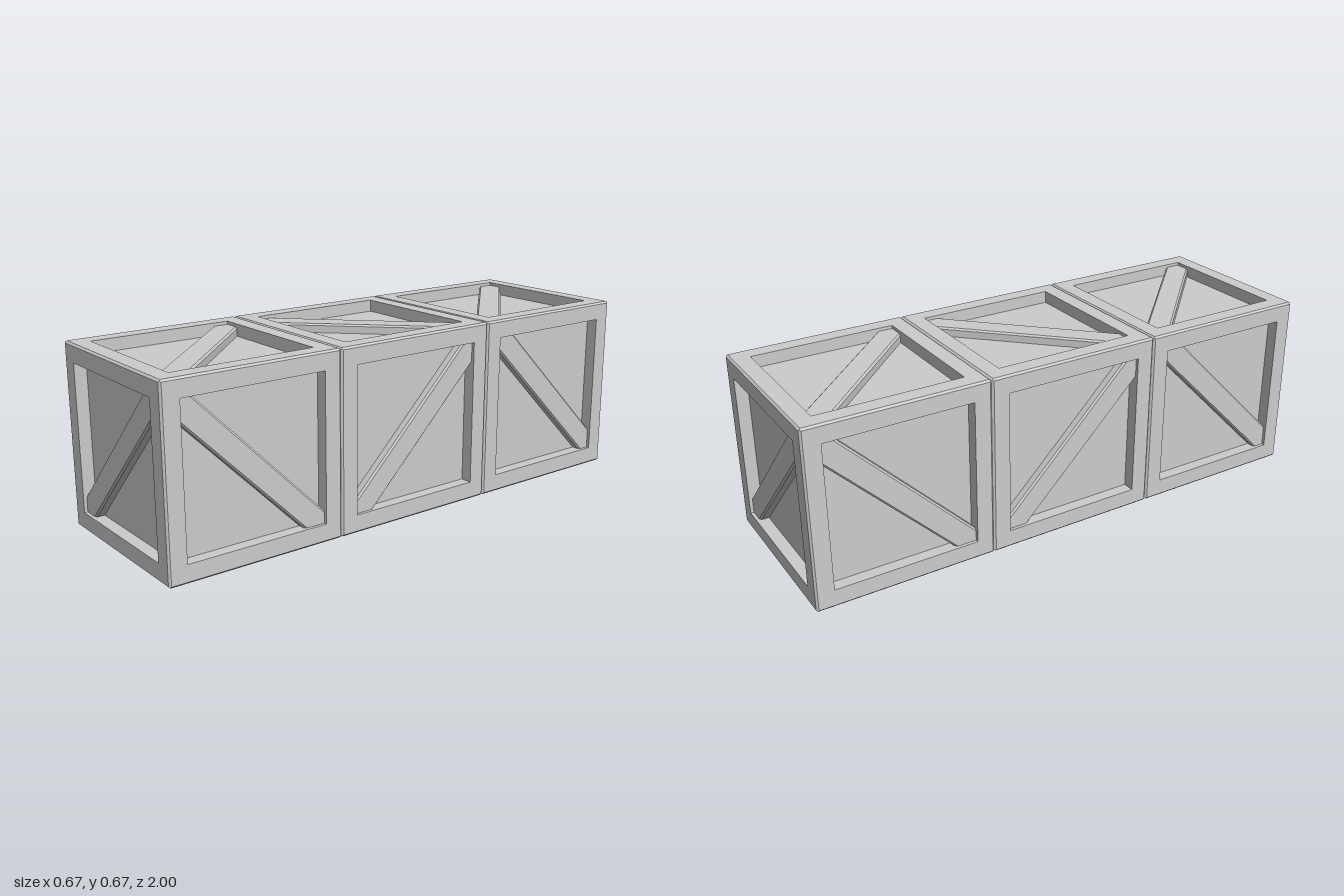
import * as THREE from 'three';

const H = 1 / 3;        // half the side of a crate
const CHAMFER = 0.007;  // bevel on the outer edges
const HOLE = 0.267;     // half the side of the recessed opening
const DEPTH = 0.045;    // recess depth

const material = new THREE.MeshStandardMaterial({ color: 0xcccccc, flatShading: true });

function faceted(geometry) {
  const flat = geometry.toNonIndexed();
  flat.computeVertexNormals();
  return flat;
}

// One crate side facing +y: half chamfer, frame, recess wall and sunken panel as a four-sided lathe
function panelGeometry() {
  const profile = [
    [H - CHAMFER / 2, H - CHAMFER / 2],
    [H - CHAMFER, H],
    [HOLE, H],
    [HOLE, H - DEPTH],
    [0, H - DEPTH],
  ].map(([half, y]) => new THREE.Vector2(half * Math.SQRT2, y));
  return faceted(new THREE.LatheGeometry(profile, 4, Math.PI / 4));
}

// Diagonal plank along x with chamfered upper edges, its ends buried in the frame
function braceGeometry() {
  const w = 0.045, t = 0.033, b = 0.0065, length = 0.76;
  const section = new THREE.Shape([
    [-w, -0.005], [w, -0.005], [w, t - b], [w - b, t], [-w + b, t], [-w, t - b],
  ].map(([x, y]) => new THREE.Vector2(x, y)));
  const geometry = new THREE.ExtrudeGeometry(section, { depth: length, bevelEnabled: false });
  geometry.translate(0, H - DEPTH, -length / 2);
  geometry.rotateY(Math.PI / 2);
  return geometry;
}

export function createModel() {
  const model = new THREE.Group();
  model.name = 'crateRow';
  const panel = panelGeometry();
  const plank = braceGeometry();

  // slant is +1 or -1 for the diagonal; shift moves the plank across its length
  function side(name, rotation, slant, shift = 0) {
    const group = new THREE.Group();
    group.name = name;
    const frame = new THREE.Mesh(panel, material);
    frame.name = name + 'Frame';
    const brace = new THREE.Mesh(plank, material);
    brace.name = name + 'Brace';
    brace.rotation.y = slant * Math.PI / 4;
    brace.translateZ(shift);
    group.add(frame, brace);
    group.rotation.set(...rotation, 'YXZ');
    return group;
  }

  ['backCrate', 'middleCrate', 'frontCrate'].forEach((name, i) => {
    const slant = i === 1 ? 1 : -1;
    const shift = 0.0125;
    const q = Math.PI / 2;
    const crate = new THREE.Group();
    crate.name = name;
    crate.position.set(0, H, (i - 1) * 2 * H);
    crate.add(
      side('top', [0, 0, 0], slant),
      side('bottom', [0, 0, Math.PI], slant),
      side('front', [q, 0, 0], 1),
      side('back', [q, Math.PI, 0], 1),
      side('leftSide', [q, q, 0], slant, i === 0 ? -shift : shift),
      side('rightSide', [q, -q, 0], slant, i === 2 ? -shift : shift),
    );
    model.add(crate);
  });
  return model;
}
